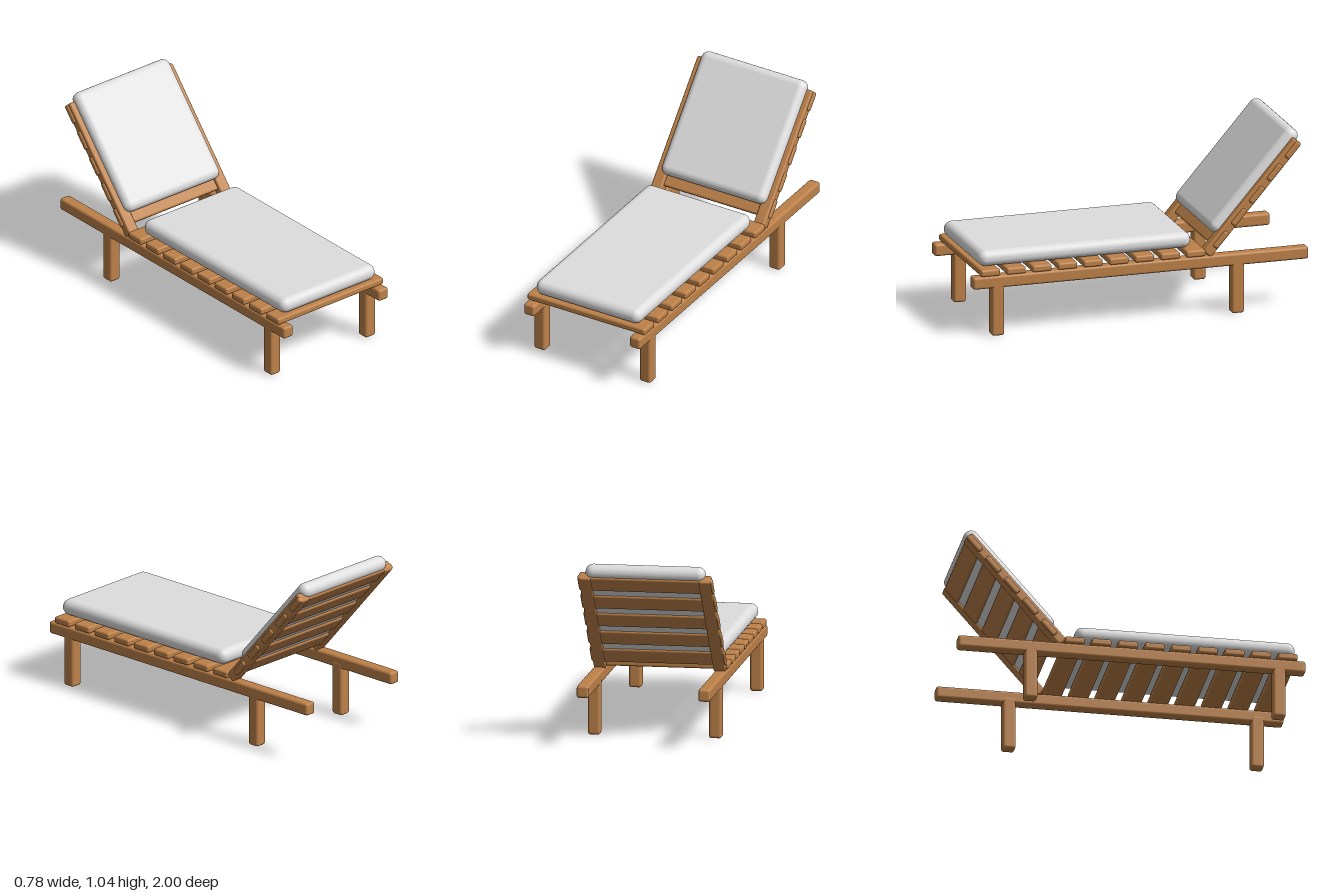
import * as THREE from 'three';
import { RoundedBoxGeometry } from 'three/addons/geometries/RoundedBoxGeometry.js';

const wood = new THREE.MeshStandardMaterial({ name: 'warm wood', color: 0xbd8149 });
const fabric = new THREE.MeshStandardMaterial({ name: 'pale cushion fabric', color: 0xdedede });

// Soft-edged block centred at (x, y, z)
function block(parent, name, material, [w, h, d], radius, [x, y, z]) {
  const mesh = new THREE.Mesh(new RoundedBoxGeometry(w, h, d, 4, radius), material);
  mesh.name = name;
  mesh.position.set(x, y, z);
  parent.add(mesh);
  return mesh;
}

export function createModel() {
  const lounger = new THREE.Group();
  lounger.name = 'sunLounger';

  // Base: two long rails on four legs
  const base = new THREE.Group();
  base.name = 'base';
  lounger.add(base);
  for (const [side, s] of [['left', 1], ['right', -1]]) {
    block(base, side + 'Rail', wood, [0.07, 0.072, 2], 0.015, [s * 0.349, 0.319, 0]);
    block(base, side + 'FrontLeg', wood, [0.072, 0.32, 0.074], 0.015, [s * 0.348, 0.16, 0.85]);
    block(base, side + 'BackLeg', wood, [0.072, 0.32, 0.074], 0.015, [s * 0.348, 0.16, -0.58]);
  }

  // Seat: nine cross slats and a long cushion
  const seat = new THREE.Group();
  seat.name = 'seat';
  lounger.add(seat);
  for (let i = 0; i < 9; i++) {
    block(seat, 'seatSlat', wood, [0.776, 0.04, 0.114], 0.012, [0, 0.376, 0.897 - i * 0.1532]);
  }
  block(seat, 'seatCushion', fabric, [0.69, 0.092, 1.265], 0.044, [0, 0.444, 0.317]);

  // Backrest: built upright around its hinge, then reclined
  const back = new THREE.Group();
  back.name = 'backrest';
  back.position.set(0, 0.362, -0.397);
  back.rotation.x = -0.718;
  lounger.add(back);
  for (const [side, s] of [['left', 1], ['right', -1]]) {
    block(back, side + 'BackBeam', wood, [0.07, 0.824, 0.06], 0.012, [s * 0.344, 0.411, 0]);
  }
  for (let i = 0; i < 5; i++) {
    block(back, 'backSlat', wood, [0.776, 0.114, 0.036], 0.012, [0, 0.115 + i * 0.1625, -0.007]);
  }
  block(back, 'backCushion', fabric, [0.69, 0.745, 0.09], 0.044, [0, 0.491, 0.031]);

  return lounger;
}
